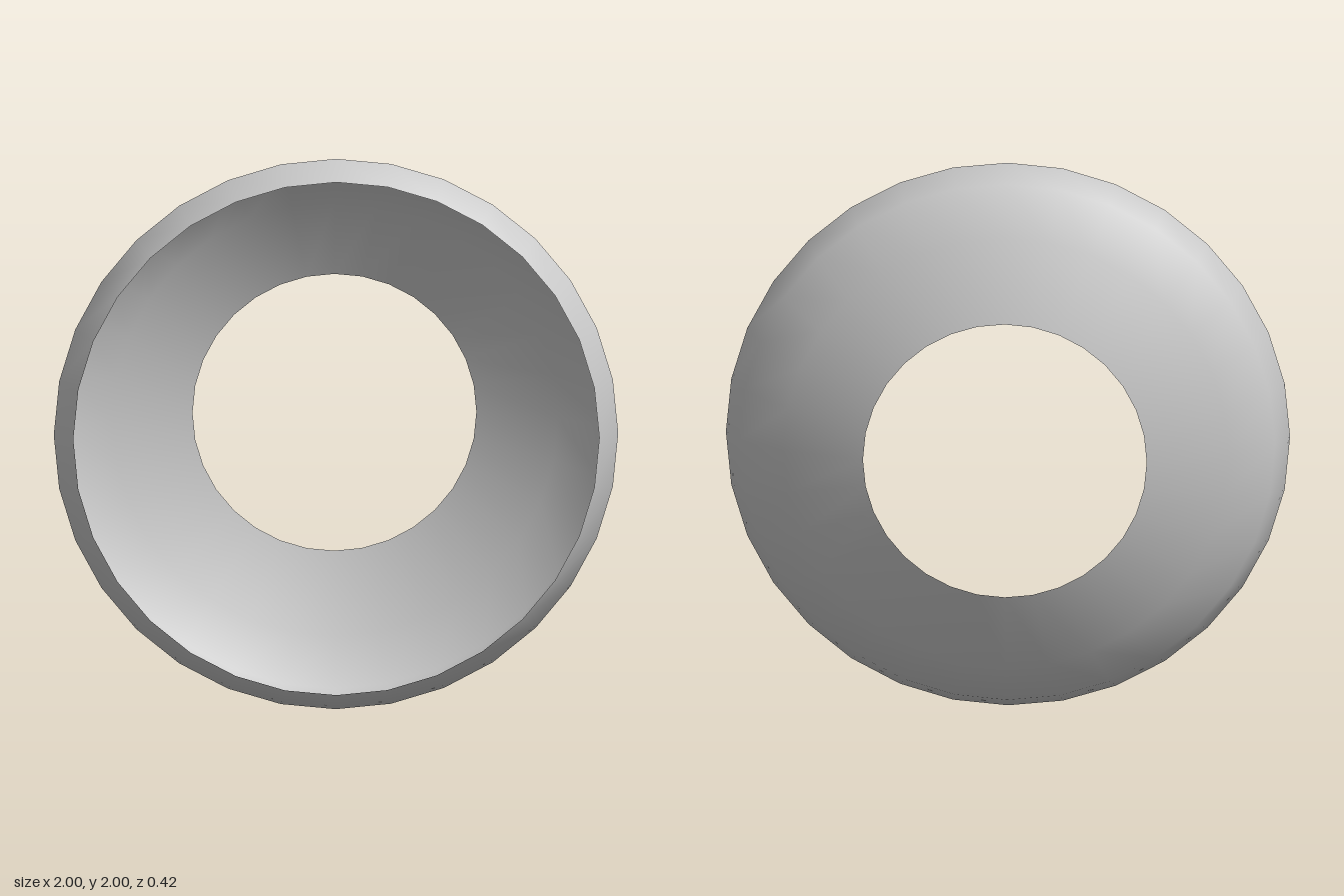
import * as THREE from 'three';

export function createModel() {
  const group = new THREE.Group();
  group.name = 'openDishRing';

  // Shell cross-section as (radius, depth), from the rear hole to the front lip
  const profile = [
    [0.503, -0.21],
    [0.79, -0.105],
    [0.95, 0.03],
    [1.0, 0.135],
    [0.932, 0.21],
  ].map(([r, z]) => new THREE.Vector2(r, z));

  // Thin open shell, turned so its axis points to the front
  const geometry = new THREE.LatheGeometry(profile, 32);
  geometry.rotateX(Math.PI / 2);
  geometry.translate(0, 1, 0);

  const shell = new THREE.Mesh(
    geometry,
    new THREE.MeshStandardMaterial({ color: 0xcccccc, side: THREE.DoubleSide })
  );
  shell.name = 'dishShell';
  group.add(shell);
  return group;
}
